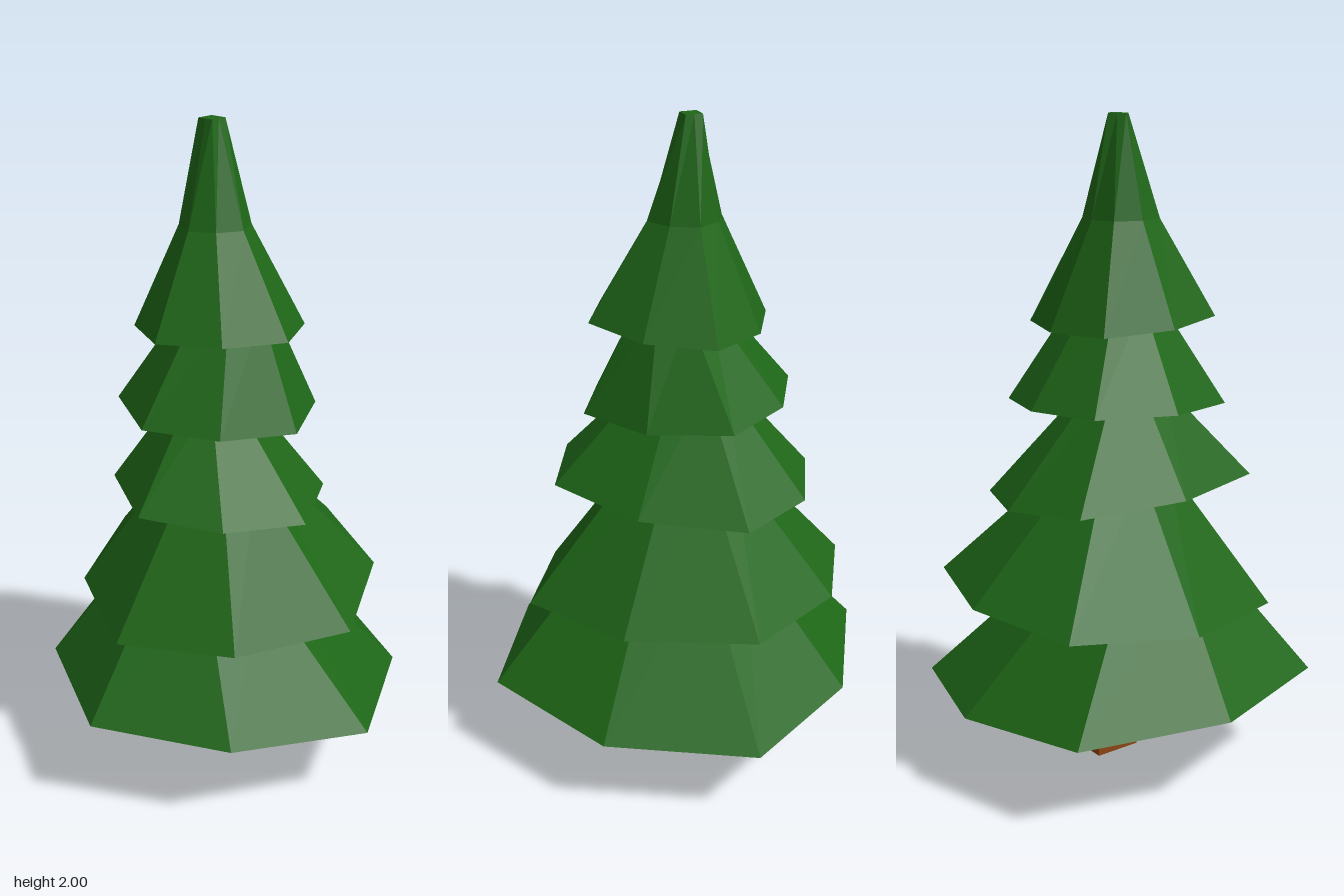
import * as THREE from 'three';

// One eight-cornered ring: centre, radii, tilt of its plane, and how far the diagonal corners reach.
function ringPoints({ c, rx, rz, tiltX = 0, tiltZ = 0, dx = 0.748, dz = 0.788 }) {
  const points = [];
  for (let i = 0; i < 8; i++) {
    const a = (i * Math.PI) / 4;
    const diagonal = i % 2 === 1;
    const x = c[0] + (diagonal ? Math.sign(Math.cos(a)) * dx : Math.round(Math.cos(a))) * rx;
    const z = c[2] + (diagonal ? Math.sign(Math.sin(a)) * dz : Math.round(Math.sin(a))) * rz;
    points.push([x, c[1] + tiltX * (x - c[0]) + tiltZ * (z - c[2]), z]);
  }
  return points;
}

// Closed faceted loft through rings listed from bottom to top.
function loft(rings) {
  const position = rings.flatMap((r) => ringPoints(r).flat());
  const index = [];
  const bottom = rings.length * 8;
  const top = bottom + 1;
  const last = (rings.length - 1) * 8;
  position.push(...rings[0].c, ...rings[rings.length - 1].c);
  for (let i = 0; i < 8; i++) {
    const j = (i + 1) % 8;
    for (let k = 0; k < last; k += 8) {
      index.push(k + i, k + 8 + i, k + j, k + j, k + 8 + i, k + 8 + j);
    }
    index.push(bottom, i, j, top, last + j, last + i);
  }
  const geometry = new THREE.BufferGeometry();
  geometry.setAttribute('position', new THREE.Float32BufferAttribute(position, 3));
  geometry.setIndex(index);
  const flat = geometry.toNonIndexed();
  flat.computeVertexNormals();
  return flat;
}

export function createModel() {
  const tree = new THREE.Group();
  tree.name = 'pineTree';
  const green = new THREE.MeshStandardMaterial({ color: 0x1e6617, flatShading: true });
  const brown = new THREE.MeshStandardMaterial({ color: 0x8b4513, flatShading: true });

  // Square trunk, slightly tapered
  const trunkGeometry = new THREE.CylinderGeometry(0.097, 0.106, 0.4, 4);
  trunkGeometry.rotateY(Math.PI / 4);
  const trunk = new THREE.Mesh(trunkGeometry, brown);
  trunk.name = 'trunk';
  trunk.position.set(0.035, 0.2, -0.028);
  tree.add(trunk);

  // Tilted skirts of branches, each rising inside the one above
  const tiers = [
    [
      { c: [0.003, 0.262, 0], rx: 0.555, rz: 0.565, tiltX: -0.05, tiltZ: 0.022 },
      { c: [-0.06, 0.65, 0.035], rx: 0.22, rz: 0.225 },
    ],
    [
      { c: [0.018, 0.55, -0.038], rx: 0.468, rz: 0.48, tiltX: 0.043, tiltZ: -0.063 },
      { c: [-0.01, 0.95, -0.018], rx: 0.14, rz: 0.155 },
    ],
    [
      { c: [-0.015, 0.89, -0.004], rx: 0.325, rz: 0.405, tiltX: -0.06, tiltZ: 0.043 },
      { c: [-0.04, 1.2, -0.003], rx: 0.09, rz: 0.125 },
    ],
    [
      { c: [-0.02, 1.152, -0.021], rx: 0.3, rz: 0.306, tiltX: -0.04, tiltZ: -0.033 },
      { c: [0.01, 1.46, 0.005], rx: 0.13, rz: 0.105 },
    ],
    // Top skirt drawn out into a narrow spire with a diamond tip
    [
      { c: [-0.013, 1.4, 0.007], rx: 0.252, rz: 0.26, tiltZ: 0.058 },
      { c: [-0.025, 1.7, -0.006], rx: 0.105, rz: 0.106 },
      { c: [-0.033, 2, -0.022], rx: 0.038, rz: 0.036, dx: 0.5, dz: 0.5 },
    ],
  ];
  tiers.forEach((rings, i) => {
    const tier = new THREE.Mesh(loft(rings), green);
    tier.name = `branchTier${i + 1}`;
    tree.add(tier);
  });
  return tree;
}
